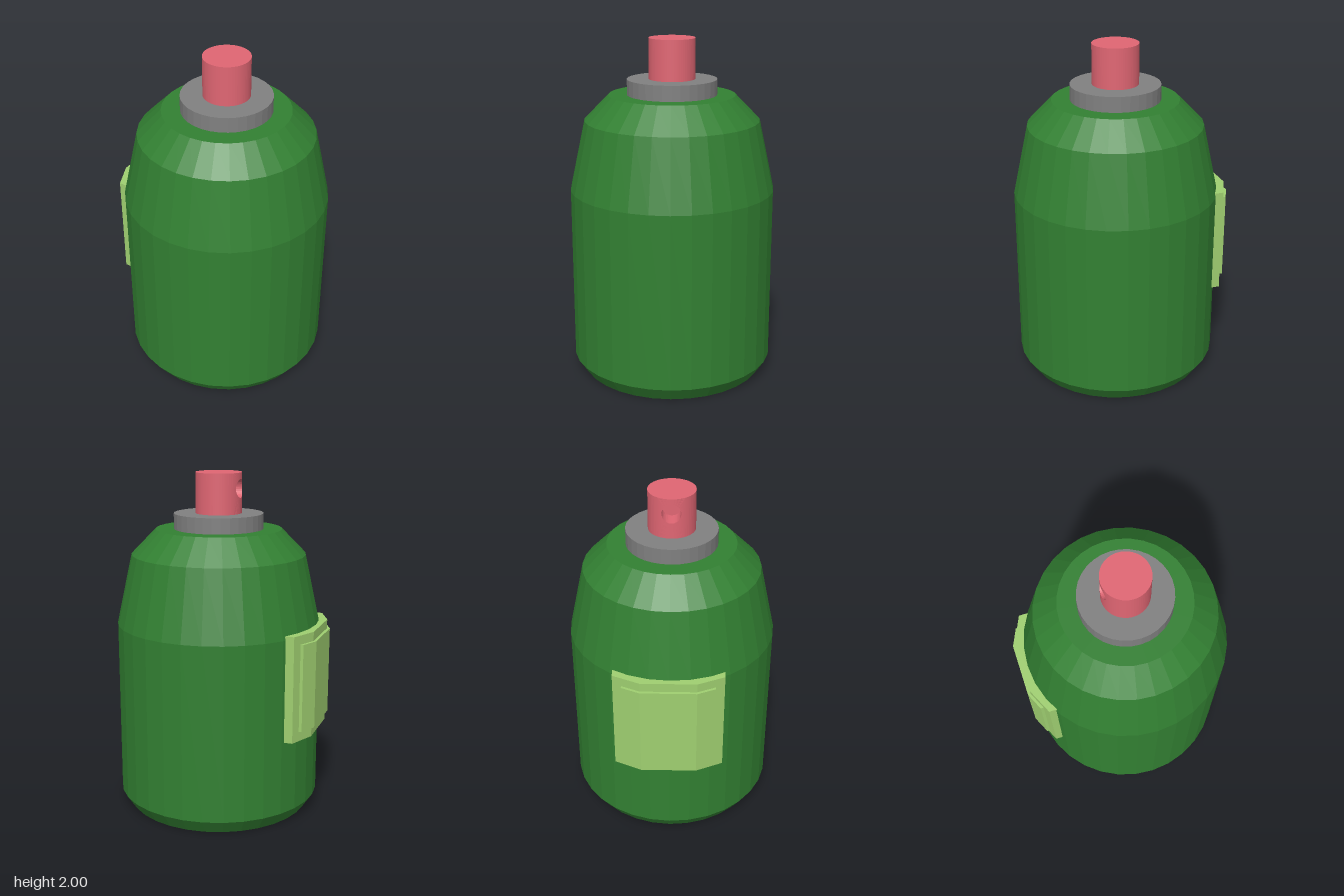
import * as THREE from 'three';

const CX = 0.02; // axis of the can
const paint = (color) => new THREE.MeshStandardMaterial({ color, flatShading: true });

function addMesh(parent, name, geometry, material, y = 0) {
  const mesh = new THREE.Mesh(geometry, material);
  mesh.name = name;
  mesh.position.y = y;
  parent.add(mesh);
  return mesh;
}

// Plate with an x/z outline, extruded upwards from y0 to y1
function plateGeometry(points, y0, y1) {
  const shape = new THREE.Shape(points.map(([x, z]) => new THREE.Vector2(x, -z)));
  const g = new THREE.ExtrudeGeometry(shape, { depth: y1 - y0, bevelEnabled: false });
  return g.rotateX(-Math.PI / 2).translate(0, y0, 0);
}

// Curved nozzle wall patch with a round spray hole, its bore and its end
function sprayHoleGeometry(R, y0, y1, halfAngle, holeY, holeR, depth) {
  const n = 32, steps = 5, pos = [], index = [];
  const addRow = (f) => {
    for (let i = 0; i <= n; i++) pos.push(...f((i / n) * Math.PI * 2));
  };
  const rim = (p) => [Math.asin((holeR * Math.cos(p)) / R), holeY + holeR * Math.sin(p)];
  const bore = (r) => (p) => [-R + depth, holeY + r * Math.sin(p), r * Math.cos(p)];
  addRow(bore(0));
  addRow(bore(holeR));
  for (let s = 0; s <= steps; s++) {
    addRow((p) => {
      const m = Math.max(Math.abs(Math.cos(p)), Math.abs(Math.sin(p)));
      const u = Math.cos(p) / m, v = Math.sin(p) / m;
      const outerY = holeY + v * (v > 0 ? y1 - holeY : holeY - y0);
      const [a0, h0] = rim(p);
      const a = THREE.MathUtils.lerp(a0, u * halfAngle, s / steps);
      const y = THREE.MathUtils.lerp(h0, outerY, s / steps);
      return [-R * Math.cos(a), y, R * Math.sin(a)];
    });
  }
  for (let j = 0; j < steps + 2; j++) {
    for (let i = 0; i < n; i++) {
      const a = j * (n + 1) + i, b = a + n + 1;
      if (j > 0) index.push(a, b, a + 1);
      index.push(b, b + 1, a + 1);
      if (j === 0) index.splice(-3, 3, a, b, b + 1);
    }
  }
  const g = new THREE.BufferGeometry();
  g.setAttribute('position', new THREE.Float32BufferAttribute(pos, 3));
  g.setIndex(index);
  g.computeVertexNormals();
  return g;
}

export function createModel() {
  const model = new THREE.Group();
  model.name = 'sprayCan';
  const green = paint(0x328032);
  const lime = paint(0x9fcf70);
  const pink = paint(0xe06673);

  const can = new THREE.Group();
  can.name = 'can';
  can.position.x = CX;
  model.add(can);

  // Body with chamfered foot and tapering shoulders
  const profile = [[0, 0], [0.545, 0], [0.602, 0.085], [0.602, 1.12], [0.512, 1.53], [0.37, 1.675], [0, 1.675]];
  addMesh(can, 'body', new THREE.LatheGeometry(profile.map(([r, y]) => new THREE.Vector2(r, y)), 32), green);

  // Collar under the nozzle
  addMesh(can, 'collar', new THREE.CylinderGeometry(0.262, 0.262, 0.09, 32), paint(0x808080), 1.72);

  // Nozzle: most of the wall, the patch with the spray hole, and the top
  const nozzle = new THREE.Group();
  nozzle.name = 'nozzle';
  can.add(nozzle);
  const R = 0.135, y0 = 1.74, y1 = 2, half = (3 * Math.PI) / 16;
  addMesh(nozzle, 'nozzleWall',
    new THREE.CylinderGeometry(R, R, y1 - y0, 52, 1, true, 1.5 * Math.PI + half, 2 * Math.PI - 2 * half), pink, (y0 + y1) / 2);
  addMesh(nozzle, 'sprayHole', sprayHoleGeometry(R, y0, y1, half, 1.91, 0.054, 0.1), pink);
  addMesh(nozzle, 'nozzleTop', new THREE.CircleGeometry(R, 64).rotateX(-Math.PI / 2), pink, y1);

  // Label on the side: a wrapped backing plate with a smaller raised plate
  const label = new THREE.Group();
  label.name = 'label';
  model.add(label);
  addMesh(label, 'labelBacking', plateGeometry([
    [-0.48, -0.318], [-0.538, -0.318], [-0.608, -0.163], [-0.608, 0.152], [-0.538, 0.305], [-0.48, 0.305],
  ], 0.52, 1.143), lime);
  addMesh(label, 'labelFace', plateGeometry([
    [-0.54, -0.267], [-0.578, -0.267], [-0.625, -0.163], [-0.625, 0.152], [-0.578, 0.255], [-0.54, 0.255],
  ], 0.577, 1.09), lime);

  return model;
}
